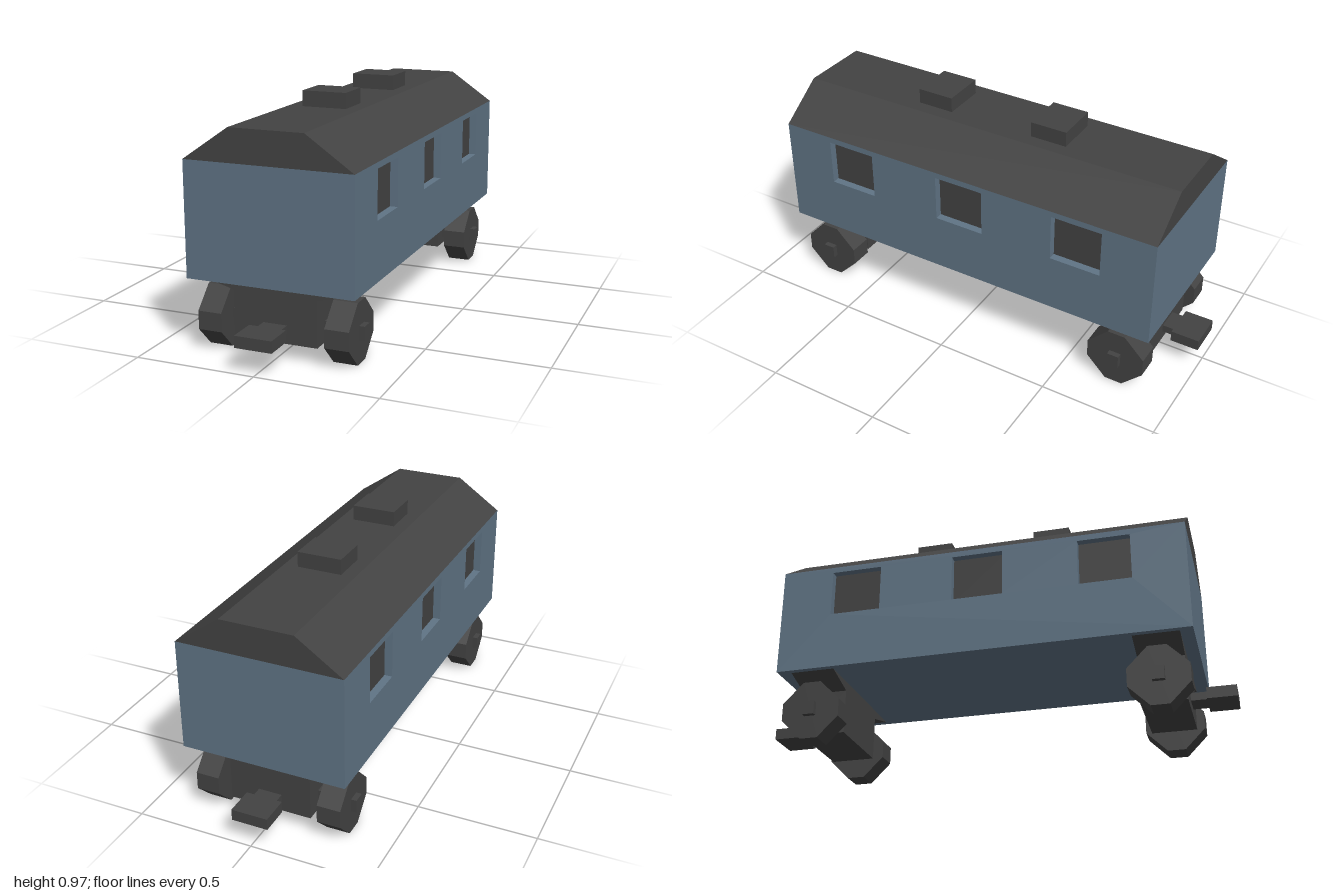
import * as THREE from 'three';

export function createModel() {
  const model = new THREE.Group();
  model.name = 'railCarriage';

  const blue = new THREE.MeshStandardMaterial({ color: 0x607485 });
  blue.name = 'slate blue';
  const dark = new THREE.MeshStandardMaterial({ color: 0x434343 });
  dark.name = 'charcoal';

  const add = (name, geometry, material, parent = model) => {
    const mesh = new THREE.Mesh(geometry, material);
    mesh.name = name;
    parent.add(mesh);
    return mesh;
  };
  // Box given by its lower and upper limits on each axis
  const box = (name, [x0, x1], [y0, y1], [z0, z1], material, parent) => {
    const mesh = add(name, new THREE.BoxGeometry(x1 - x0, y1 - y0, z1 - z0), material, parent);
    mesh.position.set((x0 + x1) / 2, (y0 + y1) / 2, (z0 + z1) / 2);
    return mesh;
  };
  const shapeOf = (points) => new THREE.Shape(points.map(([x, y]) => new THREE.Vector2(x, y)));
  const extrude = (shape, depth) => new THREE.ExtrudeGeometry(shape, { depth, bevelEnabled: false });

  // Body: inner core with a side wall on each flank, pierced by windows
  const back = -0.885, front = 0.865, floor = 0.3, eaves = 0.77;
  const half = 0.35, recess = 0.037;
  const inner = half - recess;
  box('bodyCore', [-inner, inner], [floor, eaves], [back, front], blue);

  const wallShape = shapeOf([[-front, floor], [-back, floor], [-back, eaves], [-front, eaves]]);
  const windowCentres = [0.53, -0.008, -0.547];
  for (const z of windowCentres) {
    wallShape.holes.push(new THREE.Path([
      [-z - 0.11, 0.545], [-z - 0.11, 0.745], [-z + 0.11, 0.745], [-z + 0.11, 0.545],
    ].map(([x, y]) => new THREE.Vector2(x, y))));
  }
  const wall = extrude(wallShape, recess).rotateY(Math.PI / 2);
  for (const side of [-1, 1]) {
    add('sideWall', wall, blue).position.x = side > 0 ? inner : -half;
    // Recessed window panes
    for (const z of windowCentres) {
      const pane = box('windowPane', [-0.002, 0.002], [0.545, 0.745], [z - 0.11, z + 0.11], dark);
      pane.position.x = side * (inner + 0.002);
    }
  }

  // Sloped roof with two vents
  const roof = shapeOf([[-half, eaves], [half, eaves], [0.155, 0.905], [-0.155, 0.905]]);
  add('roof', extrude(roof, front - back), dark).position.z = back;
  for (const z of [0.26, -0.28]) {
    box('roofVent', [-0.095, 0.095], [0.9, 0.97], [z - 0.08, z + 0.08], dark);
  }

  // Bogie frame profile, flaring out below the floor
  const frame = shapeOf([
    [-0.175, 0.07], [0.175, 0.07], [0.175, 0.26], [0.325, 0.3], [-0.325, 0.3], [-0.175, 0.26],
  ]);
  // Eight-sided wheel profile
  const r = 0.125, f = 0.038;
  const wheelGeometry = extrude(shapeOf([
    [r, -f], [r, f], [f, r], [-f, r], [-r, f], [-r, -f], [-f, -r], [f, -r],
  ]), 0.1).rotateY(Math.PI / 2);

  for (const end of [1, -1]) {
    const bogie = new THREE.Group();
    bogie.name = end > 0 ? 'frontBogie' : 'rearBogie';
    bogie.position.z = end > 0 ? 0.717 : -0.733;
    model.add(bogie);

    add('bogieFrame', extrude(frame, 0.19), dark, bogie).position.z = -0.095;
    box('axle', [-0.34, 0.34], [0.1, 0.157], [-0.025, 0.025], dark, bogie);
    for (const x of [0.217, -0.317]) {
      add('wheel', wheelGeometry, dark, bogie).position.set(x, 0.129 - 0.002, 0);
    }

    // Coupler: narrow neck and wide head
    const span = (a, b) => (end > 0 ? [a, b] : [-b, -a]);
    box('couplerNeck', [-0.05, 0.05], [0.112, 0.145], span(0.8, 0.89), dark);
    box('couplerHead', [-0.077, 0.077], [0.105, 0.153], span(0.878, 1), dark);
  }
  return model;
}
